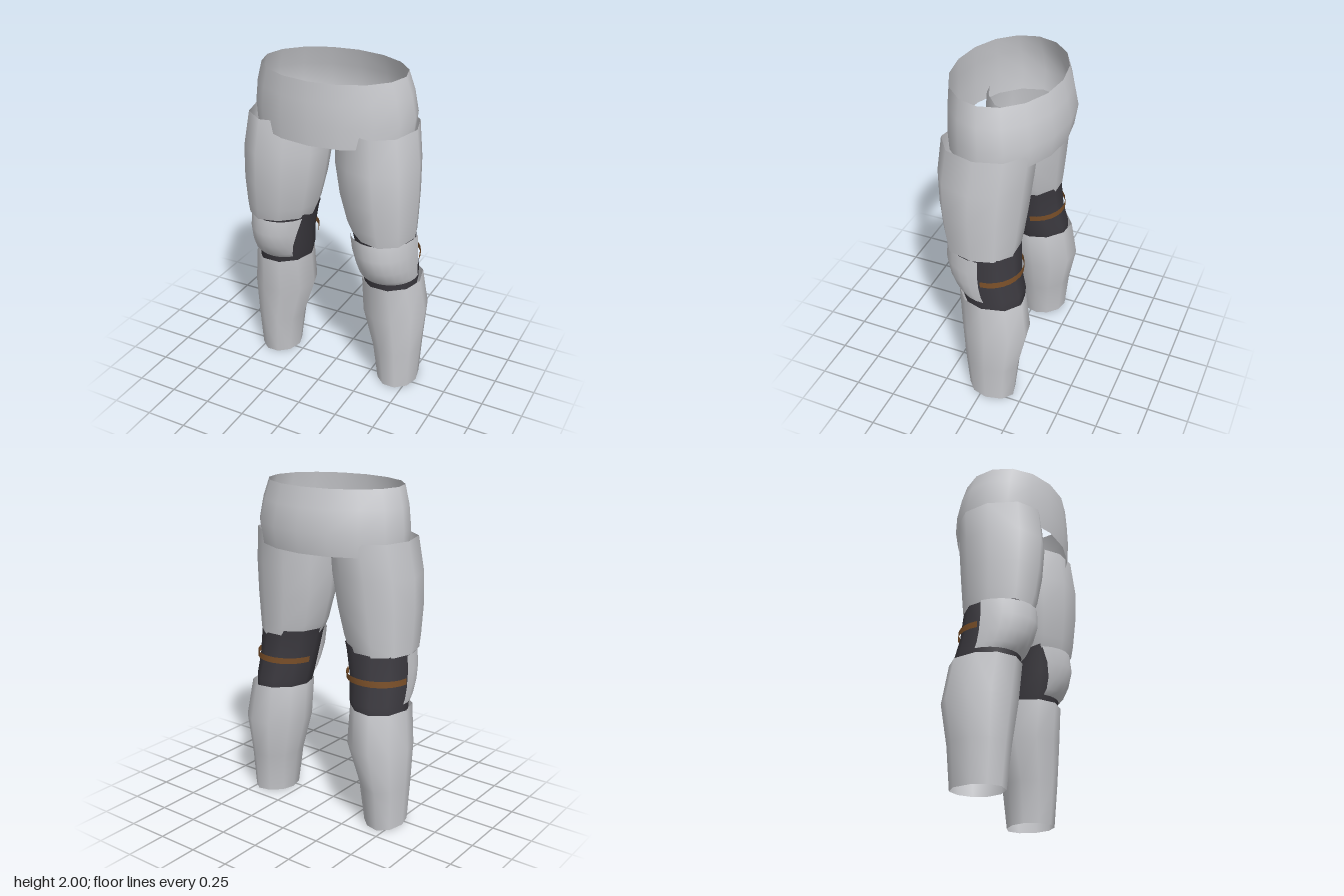
import * as THREE from 'three';

const material = (name, color) =>
  new THREE.MeshStandardMaterial({ name, color, side: THREE.DoubleSide });

// Skins elliptical rings, listed bottom to top as [y, xMin, xMax, zMin, zMax, arcEnd].
// side = -1 mirrors the shell; from/to (degrees, 0 = outer side, 90 = front) leave an open arc.
// front/back push the outer half of the ring further forward or backward.
function loft(rows, { side = 1, segments = 10, from = 0, to = 360, reach = 0.951, front = 0, back = 0 } = {}) {
  const closed = to - from === 360;
  const columns = closed ? segments : segments + 1;
  const positions = [], index = [];
  for (const [y, x0, x1, z0, z1, end = to] of rows) {
    for (let j = 0; j < columns; j++) {
      const a = THREE.MathUtils.degToRad(from + (end - from) * j / segments);
      const cos = Math.cos(a), sin = Math.sin(a);
      const x = (x0 + x1) / 2 + (x1 - x0) / 2 * cos;
      const z = (z0 + z1) / 2 + (z1 - z0) / 2 / reach * sin + (sin > 0 ? front : back) * cos * sin;
      positions.push(side * x, y, z);
    }
  }
  for (let i = 0; i < rows.length - 1; i++) {
    for (let j = 0; j < segments; j++) {
      const a = i * columns + j, b = i * columns + (j + 1) % columns;
      const c = a + columns, d = b + columns;
      if (side > 0) index.push(a, c, b, b, c, d);
      else index.push(a, b, c, b, d, c);
    }
  }
  const geometry = new THREE.BufferGeometry();
  geometry.setAttribute('position', new THREE.Float32BufferAttribute(positions, 3));
  geometry.setIndex(index);
  geometry.computeVertexNormals();
  return geometry;
}

const WAIST = [
  [1.635, -0.475, 0.475, -0.32, 0.33],
  [1.76, -0.485, 0.485, -0.34, 0.338],
  [1.89, -0.465, 0.465, -0.313, 0.334],
  [2.0, -0.43, 0.43, -0.285, 0.328],
];
const THIGH = [
  [1.055, 0.14, 0.527, -0.162, 0.238],
  [1.13, 0.107, 0.533, -0.172, 0.255],
  [1.3, 0.062, 0.541, -0.19, 0.278],
  [1.5, 0.03, 0.537, -0.21, 0.288],
  [1.71, 0.03, 0.505, -0.23, 0.266],
];
const UNDERSUIT = [
  [0.69, 0.21, 0.52, -0.205, 0.145],
  [0.77, 0.188, 0.524, -0.208, 0.158],
  [0.9, 0.168, 0.52, -0.175, 0.18],
  [1.05, 0.134, 0.515, -0.165, 0.19],
  [1.095, 0.118, 0.51, -0.16, 0.19],
];
const KNEE = [
  [0.768, 0.185, 0.529, -0.19, 0.166, 134],
  [0.8, 0.182, 0.532, -0.195, 0.2, 137],
  [0.87, 0.172, 0.535, -0.2, 0.237, 141],
  [0.96, 0.152, 0.535, -0.205, 0.26, 146],
  [1.057, 0.134, 0.53, -0.2, 0.252, 151],
];
const STRAP = [
  [0.89, 0.148, 0.537, -0.193, 0.18],
  [0.927, 0.142, 0.537, -0.191, 0.18],
];
const SHIN = [
  [0, 0.296, 0.545, -0.182, 0.102],
  [0.25, 0.262, 0.56, -0.205, 0.125],
  [0.5, 0.187, 0.577, -0.253, 0.147],
  [0.735, 0.188, 0.545, -0.22, 0.167],
];

export function createModel() {
  const shell = material('shell grey', 0xcacbcf);
  const fabric = material('dark fabric', 0x3c3a40);
  const leather = material('brown leather', 0x7b5029);

  const model = new THREE.Group();
  model.name = 'legArmor';
  const add = (parent, name, geometry, mat) => {
    const mesh = new THREE.Mesh(geometry, mat);
    mesh.name = name;
    parent.add(mesh);
  };

  // Open waist band
  add(model, 'waistBand', loft(WAIST, { segments: 16, reach: 1 }), shell);

  // Mirrored legs
  for (const side of [1, -1]) {
    const leg = new THREE.Group();
    leg.name = side > 0 ? 'leftLeg' : 'rightLeg';
    model.add(leg);
    add(leg, 'thighShell', loft(THIGH, { side, front: 0.05 }), shell);
    add(leg, 'kneeUndersuit', loft(UNDERSUIT, { side }), fabric);
    add(leg, 'kneePlate', loft(KNEE, { side, from: -7, to: 150, reach: 0.99 }), shell);
    // Thin strap round the back of the knee
    add(leg, 'kneeStrap', loft(STRAP, { side, segments: 12, from: 192, to: 356, reach: 0.98 }), leather);
    add(leg, 'shinShell', loft(SHIN, { side, back: 0.03 }), shell);
  }
  return model;
}
